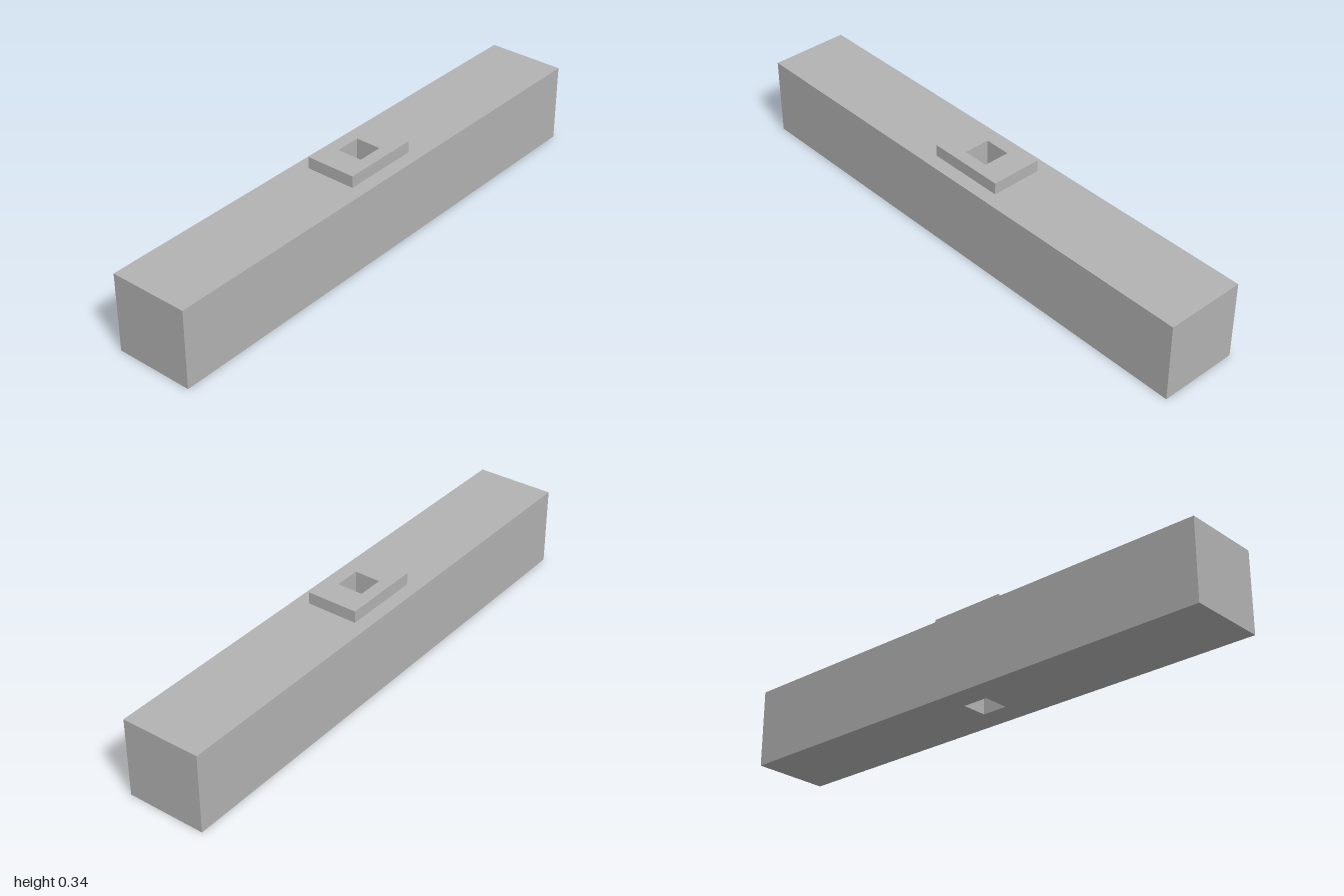
import * as THREE from 'three';

// Rectangular block (width x, length z) pierced by a square vertical hole
function piercedBlock(name, width, length, bottom, top, hole, material) {
  const w = width / 2, l = length / 2, h = hole / 2;
  const shape = new THREE.Shape([
    new THREE.Vector2(-w, -l), new THREE.Vector2(w, -l),
    new THREE.Vector2(w, l), new THREE.Vector2(-w, l),
  ]);
  shape.holes.push(new THREE.Path([
    new THREE.Vector2(-h, -h), new THREE.Vector2(-h, h),
    new THREE.Vector2(h, h), new THREE.Vector2(h, -h),
  ]));
  const geometry = new THREE.ExtrudeGeometry(shape, { depth: top - bottom, bevelEnabled: false });
  geometry.rotateX(-Math.PI / 2).translate(0, bottom, 0);
  const mesh = new THREE.Mesh(geometry, material);
  mesh.name = name;
  return mesh;
}

export function createModel() {
  const grey = new THREE.MeshStandardMaterial({ color: 0xb2b2b2 });
  grey.name = 'grey';

  const model = new THREE.Group();
  model.name = 'piercedBeam';
  // Long beam and the raised collar around its through hole
  model.add(piercedBlock('beam', 0.3, 2, 0, 0.3, 0.1, grey));
  model.add(piercedBlock('collar', 0.195, 0.3, 0.3, 0.345, 0.1, grey));
  return model;
}
